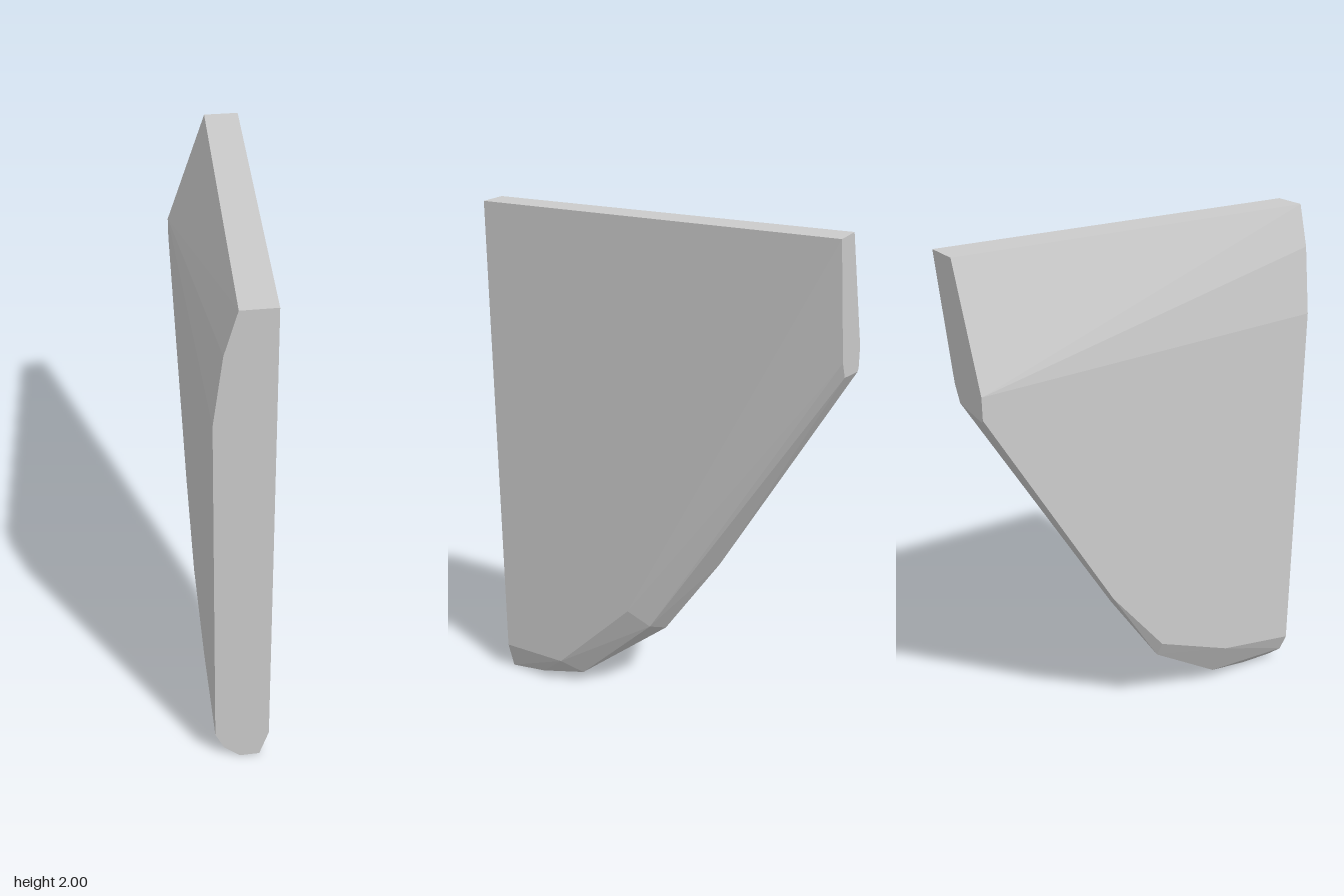
import * as THREE from 'three';
import { ConvexGeometry } from 'three/addons/geometries/ConvexGeometry.js';

// Cross-sections of the tapered slab: [z, [[x, y], ...]]
const sections = [
  // flat front end
  [0.7, [[-0.063, 2], [0.055, 2], [0.065, 0.12], [0.03, 0], [-0.045, 0],
    [-0.107, 0.06], [-0.14, 0.14], [-0.14, 1.6], [-0.107, 1.85]]],
  // curved lower edge, rising toward the back
  [0.55, [[0.025, 0.01], [-0.045, 0.012]]],
  [0.43, [[0.079, 0.12]]],
  [0.36, [[0.015, 0.05], [-0.06, 0.055], [-0.14, 0.21]]],
  [0.1, [[0.096, 0.45]]],
  [0.03, [[0.04, 0.37], [-0.105, 0.29], [-0.14, 0.36]]],
  [-0.2, [[-0.12, 0.63], [-0.14, 0.65]]],
  // flat back end
  [-0.7, [[0.01, 2], [0.137, 2], [0.045, 1.57], [0.015, 1.51],
    [-0.13, 1.49], [-0.14, 1.5], [-0.14, 1.58]]],
];

export function createModel() {
  const group = new THREE.Group();
  group.name = 'taperedBlade';

  // The body is the faceted convex skin around its cross-sections
  const points = sections.flatMap(([z, outline]) =>
    outline.map(([x, y]) => new THREE.Vector3(x, y, z)));
  const body = new THREE.Mesh(
    new ConvexGeometry(points),
    new THREE.MeshStandardMaterial({ color: 0xcccccc, flatShading: true })
  );
  body.name = 'bladeBody';
  group.add(body);
  return group;
}
